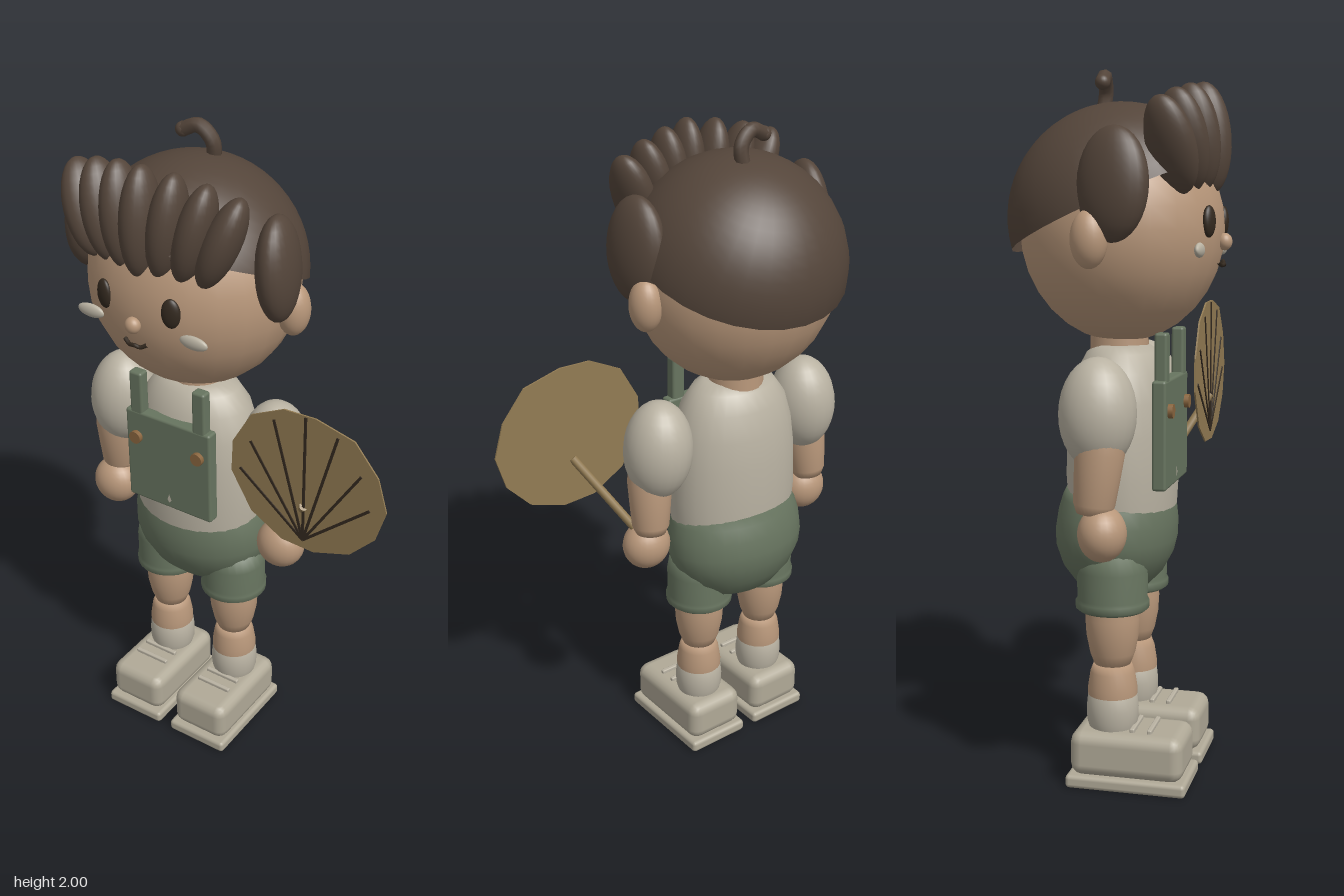
import * as THREE from 'three';
import { RoundedBoxGeometry } from 'three/addons/geometries/RoundedBoxGeometry.js';

const mat = (name, color, side = THREE.FrontSide) => {
  const m = new THREE.MeshStandardMaterial({ color, side });
  m.name = name;
  return m;
};

export function createModel() {
  const skin = mat('skin', 0xb8977a);
  const hair = mat('hair', 0x54453a, THREE.DoubleSide);
  const cream = mat('cream', 0xb9b2a2);
  const shoeGrey = mat('shoe', 0xb0a997);
  const green = mat('green', 0x67745f);
  const dark = mat('dark', 0x33291f);
  const straw = mat('straw', 0x927b53, THREE.DoubleSide);
  const brass = mat('brass', 0x8a663f);

  const model = new THREE.Group();
  const body = new THREE.Group(); // the figure stands beside the fan, off centre
  body.name = 'figure';
  body.position.x = -0.17;
  model.add(body);

  const add = (name, geo, material, x = 0, y = 0, z = 0, parent = body) => {
    const m = new THREE.Mesh(geo, material);
    m.name = name;
    m.position.set(x, y, z);
    parent.add(m);
    return m;
  };
  const ball = (name, material, [x, y, z], [rx, ry, rz], rot = [0, 0, 0]) => {
    const m = add(name, new THREE.SphereGeometry(1, 24, 16), material, x, y, z);
    m.scale.set(rx, ry, rz);
    m.rotation.set(...rot);
    return m;
  };
  // Profile points run from bottom to top as [radius, y]
  const lathe = (name, material, pts, x = 0, y = 0, z = 0) =>
    add(name, new THREE.LatheGeometry(pts.map(p => new THREE.Vector2(...p)), 28), material, x, y, z);
  const box = (name, material, w, h, d, r, x, y, z) =>
    add(name, new RoundedBoxGeometry(w, h, d, 2, r), material, x, y, z);
  const tube = (name, material, pts, r, parent = body) =>
    add(name, new THREE.TubeGeometry(new THREE.CatmullRomCurve3(pts.map(p => new THREE.Vector3(...p))), 14, r, 8), material, 0, 0, 0, parent);

  // Head and face
  ball('head', skin, [0, 1.565, 0], [0.31, 0.315, 0.285]);
  ball('nose', skin, [0, 1.53, 0.289], [0.023, 0.024, 0.021]);
  tube('mouth', dark, [[-0.037, 1.476, 0.278], [-0.018, 1.466, 0.284], [0, 1.469, 0.287], [0.018, 1.466, 0.284], [0.037, 1.476, 0.278]], 0.006);
  for (const s of [-1, 1]) {
    ball('eye', dark, [s * 0.11, 1.585, 0.265], [0.027, 0.043, 0.015], [0, s * 0.3, 0]);
    ball('cheek', cream, [s * 0.172, 1.51, 0.252], [0.045, 0.02, 0.012]);
    ball('ear', skin, [s * 0.32, 1.54, -0.01], [0.047, 0.077, 0.05]);
    ball('sideHair', hair, [s * 0.307, 1.68, 0.05], [0.056, 0.15, 0.1], [0, s * 0.2, s * 0.06]);
  }

  // Hair cap tipped backwards, with a fanned fringe and a curl
  const cap = add('hairCap', new THREE.SphereGeometry(1, 28, 14, 0, Math.PI * 2, 0, 1.45), hair, 0, 1.59, 0);
  cap.scale.set(0.324, 0.322, 0.322);
  cap.rotation.x = -0.41;
  for (let i = -3; i <= 3; i++) {
    const a = Math.abs(i);
    ball('fringe', hair, [i * 0.073, 1.808 - a * a * 0.003, 0.235 - a * 0.017],
      [0.05, 0.153 - a * 0.006, 0.07], [-0.07, i * 0.1, -i * 0.125]);
  }
  tube('curl', hair, [[0.025, 1.87, -0.065], [0.03, 1.94, -0.055], [-0.01, 1.978, -0.048], [-0.058, 1.96, -0.042]], 0.021);
  ball('curlTip', hair, [-0.058, 1.96, -0.042], [0.021, 0.021, 0.021]);

  // Neck and shirt
  add('neck', new THREE.CylinderGeometry(0.08, 0.085, 0.12, 24), skin, 0, 1.25, -0.01);
  lathe('shirt', cream, [[0.205, 0.78], [0.213, 0.88], [0.208, 1.0], [0.196, 1.09], [0.172, 1.17],
    [0.135, 1.222], [0.095, 1.243], [0.001, 1.247]]).scale.z = 0.74;

  // Shorts: rounded seat with two cuffed legs
  const seat = lathe('shortsSeat', green, [[0.001, -0.19], [0.07, -0.18], [0.135, -0.152], [0.19, -0.1], [0.22, -0.045],
    [0.228, 0], [0.224, 0.05], [0.212, 0.095], [0.195, 0.13], [0.001, 0.135]], 0, 0.705, -0.018);
  seat.scale.z = 0.76;
  seat.rotation.x = 0.1;

  for (const s of [-1, 1]) {
    const x = s * 0.125;
    lathe('shortsLeg', green, [[0.001, 0.505], [0.094, 0.505], [0.104, 0.513], [0.104, 0.532], [0.099, 0.54],
      [0.1, 0.62], [0.09, 0.68], [0.001, 0.7]], x);
    // Legs and socks
    lathe('thigh', skin, [[0.001, 0.33], [0.05, 0.343], [0.064, 0.38], [0.074, 0.43], [0.077, 0.48], [0.072, 0.54]], x);
    lathe('shin', skin, [[0.064, 0.19], [0.07, 0.24], [0.07, 0.28], [0.063, 0.325], [0.054, 0.348], [0.001, 0.352]], x);
    lathe('sock', cream, [[0.066, 0.16], [0.073, 0.185], [0.074, 0.22], [0.07, 0.258], [0.062, 0.262]], x);
    // Shoes
    box('sole', shoeGrey, 0.208, 0.038, 0.345, 0.012, x, 0.022, 0.058);
    box('shoe', shoeGrey, 0.195, 0.13, 0.325, 0.035, x, 0.101, 0.057);
    for (const z of [0.07, 0.12]) box('lace', cream, 0.12, 0.014, 0.014, 0.004, x, 0.17, z);
    // Arms
    ball('sleeve', cream, [s * 0.277, 1.08, 0], [0.102, 0.152, 0.105], [0, 0, s * 0.06]);
    lathe('forearm', skin, [[0.001, -0.1], [0.045, -0.095], [0.056, -0.07], [0.062, 0], [0.067, 0.07], [0.06, 0.12]],
      s * 0.305, 0.91, 0.005).rotation.set(0.1, 0, s * 0.06);
    ball('hand', skin, [s * 0.31, 0.763, 0.02], [0.075, 0.076, 0.066]);
    // Strap and button
    box('strap', green, 0.044, 0.16, 0.036, 0.008, s * 0.11, 1.205, 0.138);
    const button = add('button', new THREE.CylinderGeometry(0.02, 0.02, 0.016, 16), brass, s * 0.11, 1.07, 0.163);
    button.rotation.x = Math.PI / 2;
  }
  box('bib', green, 0.298, 0.305, 0.04, 0.008, 0, 1.003, 0.137);

  // Leaf fan held in the left hand
  const fan = new THREE.Group();
  fan.name = 'fan';
  model.add(fan);
  const rim = [[0.06, 1.08], [0.065, 1.18], [0.125, 1.285], [0.23, 1.337], [0.33, 1.34], [0.45, 1.31], [0.525, 1.22],
    [0.555, 1.12], [0.525, 1.02], [0.45, 0.94], [0.335, 0.9], [0.23, 0.905], [0.127, 0.965]];
  const leaf = new THREE.Shape(rim.map(p => new THREE.Vector2(...p)));
  add('fanLeaf', new THREE.ExtrudeGeometry(leaf, { depth: 0.005, bevelEnabled: false }), straw, 0, 0, 0.159, fan);
  for (const [x, y] of [[0.09, 1.1], [0.125, 1.2], [0.2, 1.295], [0.3, 1.335], [0.4, 1.305], [0.475, 1.21], [0.505, 1.11]]) {
    const dx = x - 0.3, dy = y - 0.93;
    const rib = add('fanRib', new THREE.BoxGeometry(0.008, Math.hypot(dx, dy), 0.004), dark, 0.3 + dx / 2, 0.93 + dy / 2, 0.165, fan);
    rib.rotation.z = Math.atan2(-dx, dy);
  }
  const from = new THREE.Vector3(0.13, 0.75, -0.005), to = new THREE.Vector3(0.3, 1.045, 0.163);
  const dir = to.clone().sub(from);
  const handle = add('fanHandle', new THREE.CylinderGeometry(0.013, 0.013, dir.length(), 10), straw, 0, 0, 0, fan);
  handle.position.copy(from).add(to).multiplyScalar(0.5);
  handle.quaternion.setFromUnitVectors(new THREE.Vector3(0, 1, 0), dir.normalize());

  return model;
}
